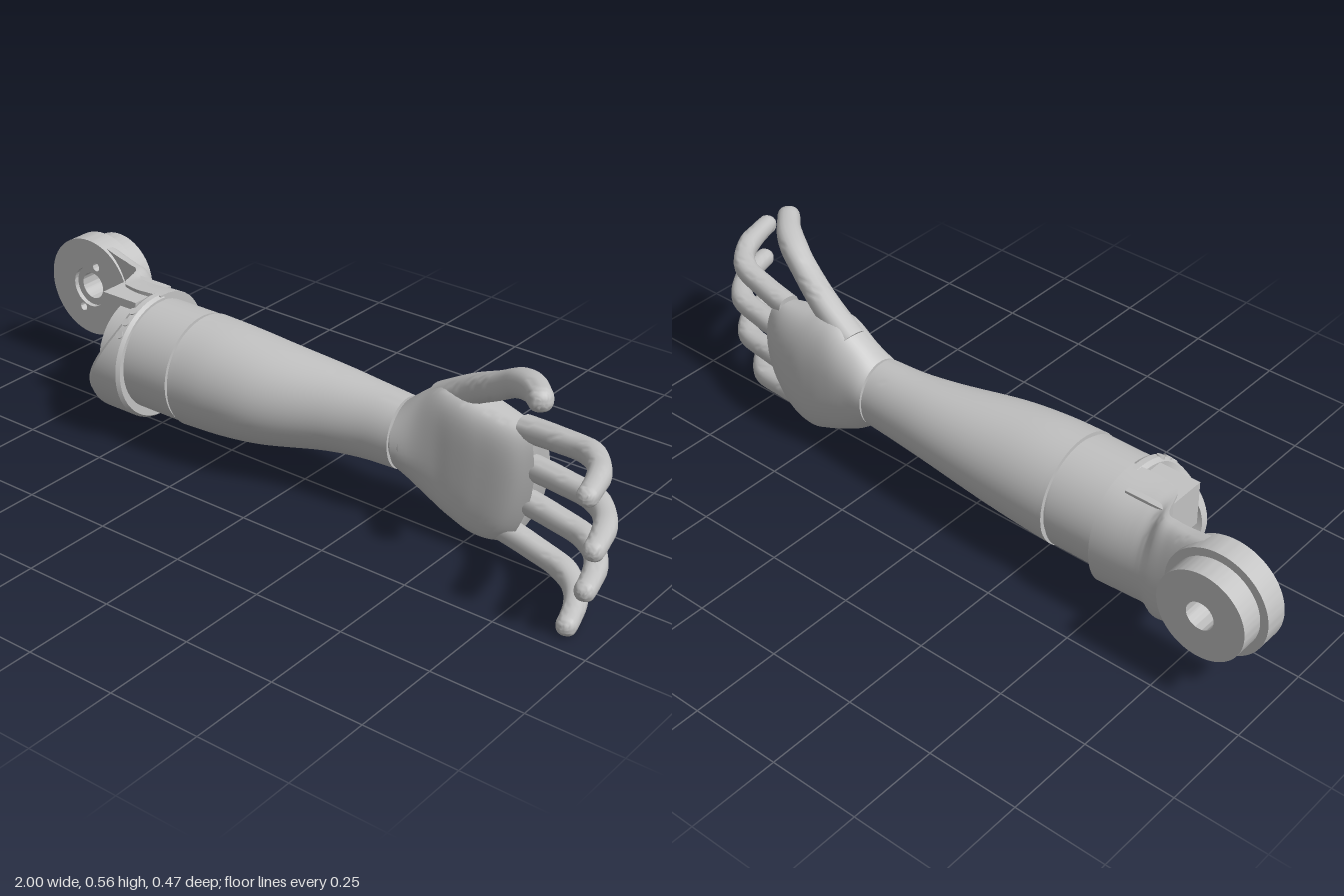
import * as THREE from 'three';
import { toCreasedNormals } from 'three/addons/utils/BufferGeometryUtils.js';

const grey = new THREE.MeshStandardMaterial({ color: 0xc2c2c2 });
grey.name = 'plain grey';
const V = (x, y, z) => new THREE.Vector3(x, y, z);
const spow = (v, p) => Math.sign(v) * Math.abs(v) ** p;

export function createModel() {
  const model = new THREE.Group();
  model.name = 'prostheticArm';

  const add = (name, geometry, parent = model) => {
    const mesh = new THREE.Mesh(geometry, grey);
    mesh.name = name;
    parent.add(mesh);
    return mesh;
  };

  // Skins a series of closed rings and caps both ends
  const loft = (rings, crease = 0.7) => {
    const n = rings[0].length, pos = [], idx = [];
    rings.forEach(r => r.forEach(p => pos.push(p.x, p.y, p.z)));
    for (let i = 0; i < rings.length - 1; i++) for (let j = 0; j < n; j++) {
      const a = i * n + j, b = i * n + (j + 1) % n;
      idx.push(a, b, a + n, b, b + n, a + n);
    }
    [0, rings.length - 1].forEach((k, end) => {
      const c = rings[k].reduce((s, p) => s.add(p), V(0, 0, 0)).divideScalar(n);
      const ci = pos.length / 3;
      pos.push(c.x, c.y, c.z);
      for (let j = 0; j < n; j++) {
        const a = k * n + j, b = k * n + (j + 1) % n;
        end ? idx.push(ci, a, b) : idx.push(ci, b, a);
      }
    });
    const g = new THREE.BufferGeometry();
    g.setAttribute('position', new THREE.Float32BufferAttribute(pos, 3));
    g.setIndex(idx);
    return toCreasedNormals(g, crease);
  };

  // Smoothly interpolated stations [x, yMin, yMax, zMin, zMax] along the arm
  const body = (stations, steps, point) => {
    const xs = stations.map(s => s[0]);
    const curve = new THREE.CubicInterpolant(xs, stations.flatMap(s => s.slice(1)), 4, new Float32Array(4));
    const rings = [];
    for (let i = 0; i <= steps; i++) {
      const x = THREE.MathUtils.lerp(xs[0], xs[xs.length - 1], i / steps);
      const [y0, y1, z0, z1] = curve.evaluate(x);
      rings.push(Array.from({ length: 48 }, (_, j) => {
        const a = j / 48 * Math.PI * 2;
        return point(x, Math.cos(a), Math.sin(a), y0, y1, z0, z1);
      }));
    }
    return loft(rings);
  };
  const oval = (x, c, s, y0, y1, z0, z1) =>
    V(x, (y0 + y1) / 2 + c * (y1 - y0) / 2, (z0 + z1) / 2 + s * (z1 - z0) / 2);

  const tubeX = (name, x0, x1, r, y = 0.222, z = 0.005) => {
    const m = add(name, new THREE.CylinderGeometry(r, r, x1 - x0, 56));
    m.rotation.z = Math.PI / 2;
    m.position.set((x0 + x1) / 2, y, z);
  };

  // Forearm, with recessed joints at both ends
  add('forearm', body([
    [-0.33, 0.067, 0.376, -0.15, 0.161], [-0.22, 0.073, 0.373, -0.146, 0.157],
    [-0.1, 0.086, 0.364, -0.14, 0.142], [0.1, 0.12, 0.345, -0.128, 0.085],
    [0.2, 0.13, 0.336, -0.119, 0.066], [0.302, 0.135, 0.33, -0.11, 0.06],
  ], 40, oval));
  tubeX('cuff', -0.5, -0.341, 0.152);
  tubeX('cuffJoint', -0.36, -0.31, 0.143);
  tubeX('wristJoint', 0.28, 0.33, 0.078, 0.233, -0.025);

  // Palm: rounder back, flatter slightly hollow front, arched knuckle edge
  add('palm', body([
    [0.309, 0.136, 0.33, -0.109, 0.058], [0.36, 0.1, 0.372, -0.111, 0.047],
    [0.42, 0.072, 0.41, -0.116, 0.045], [0.48, 0.052, 0.413, -0.119, 0.047],
    [0.55, 0.036, 0.398, -0.117, 0.046], [0.64, 0.034, 0.38, -0.095, 0.036],
    [0.692, 0.045, 0.37, -0.066, 0.014],
  ], 36, (x, c, s, y0, y1, z0, z1) => {
    const w = THREE.MathUtils.smoothstep(x, 0.309, 0.45);
    const k = THREE.MathUtils.smoothstep(x, 0.4, 0.69);
    const p = oval(x, spow(c, 1 - 0.2 * w), spow(s, 1 - (s > 0 ? 0.4 : 0.12) * w), y0, y1, z0, z1);
    if (s > 0) p.z -= 0.01 * w * s ** 4;
    p.x -= 1.5 * k * (p.y - 0.26) ** 2;
    return p;
  }));

  // Rounded, tapering finger along a curve, with soft swellings at its joints
  const finger = (name, points, r0, r1, joints) => {
    const curve = new THREE.CatmullRomCurve3(points.map(p => V(...p)));
    const L = curve.getLength(), steps = [], tip = 1 - r1 / L;
    for (let i = 0; i < 28; i++) steps.push([tip * i / 28, 1]);
    for (let i = 0; i <= 7; i++) {
      const a = i / 7 * Math.PI / 2;
      steps.push([Math.min(1, tip + Math.sin(a) * (1 - tip)), Math.max(Math.cos(a), 0.02)]);
    }
    add(name, loft(steps.map(([u, k]) => {
      const bump = joints.reduce((s, j) => s + 0.07 * Math.exp(-(((u - j) / 0.07) ** 2)), 1);
      const r = THREE.MathUtils.lerp(r0, r1, u) * k * bump;
      const c = curve.getPointAt(u), t = curve.getTangentAt(u);
      const b = t.clone().cross(V(0, 1, 0)).normalize();
      const n = b.clone().cross(t);
      return Array.from({ length: 20 }, (_, j) => {
        const a = j / 20 * Math.PI * 2;
        return c.clone().addScaledVector(n, r * spow(Math.cos(a), 0.85))
          .addScaledVector(b, r * spow(Math.sin(a), 0.85));
      });
    }), 1));
  };

  // Four curled fingers: [name, root x, root y, root z, tip x, tip y, tip z]
  const profile = [[0, 0], [0.32, 0.06], [0.66, 0.17], [0.86, 0.44], [0.96, 0.78], [1, 1]];
  [
    ['indexFinger', 0.64, 0.36, -0.026, 0.953, 0.39, 0.226],
    ['middleFinger', 0.65, 0.265, -0.026, 0.982, 0.264, 0.233],
    ['ringFinger', 0.64, 0.169, -0.026, 0.962, 0.145, 0.222],
    ['littleFinger', 0.58, 0.075, -0.022, 0.917, 0.028, 0.213],
  ].forEach(([name, x, y, z, tx, ty, tz]) => finger(name, profile.map(([u, w]) =>
    [x + u * (tx - x), y + u * (ty - y), z + w * (tz - z)]), 0.032, 0.025, [0.48, 0.73]));
  finger('thumb', [[0.4, 0.36, -0.035], [0.5, 0.42, -0.022], [0.585, 0.465, 0.002],
    [0.65, 0.502, 0.024], [0.71, 0.522, 0.06], [0.78, 0.532, 0.13]], 0.04, 0.03, [0.66, 0.76]);

  // Elbow: bored front disc, hub ring and rear boss
  const disc = (name, r, z0, z1, holes) => {
    const s = new THREE.Shape().absarc(0, 0, r, 0, Math.PI * 2);
    holes.forEach(([x, y, hr]) => s.holes.push(new THREE.Path().absarc(x, y, hr, 0, Math.PI * 2, true)));
    const g = new THREE.ExtrudeGeometry(s, { depth: z1 - z0, bevelEnabled: false, curveSegments: 56 });
    add(name, toCreasedNormals(g, 0.6)).position.set(-0.857, 0.274, z0);
  };
  disc('elbowDisc', 0.143, -0.17, -0.105, [[0, 0, 0.058], [0.028, 0.068, 0.012], [-0.028, -0.068, 0.012]]);
  disc('elbowHubRing', 0.06, -0.17, -0.118, [[0, 0, 0.038]]);
  disc('elbowBoss', 0.121, -0.232, -0.169, [[0, 0, 0.038]]);

  // Upper bracket: half-round back shell, flattening into the elbow disc
  add('bracketShell', body([
    [-0.815, 0.122, 0.408, -0.167, -0.118], [-0.75, 0.102, 0.394, -0.168, -0.112],
    [-0.7, 0.088, 0.387, -0.168, -0.105], [-0.66, 0.076, 0.384, -0.168, -0.088],
    [-0.635, 0.068, 0.384, -0.167, -0.02], [-0.6, 0.06, 0.385, -0.166, 0.0],
    [-0.49, 0.052, 0.388, -0.166, 0.0],
  ], 44, (x, c, s, y0, y1, z0, z1) => {
    const p = THREE.MathUtils.lerp(0.4, 0.8, THREE.MathUtils.smoothstep(x, -0.815, -0.62));
    return V(x, (y0 + y1) / 2 + c * (y1 - y0) / 2, s > 0 ? z1 : z1 - (z1 - z0) * spow(-s, p));
  }));
  tubeX('socketPlug', -0.585, -0.49, 0.14);

  // Latch block with a chamfered lower corner, set in the open side of the bracket
  const latch = new THREE.Shape([[-0.647, 0.376], [-0.647, 0.25], [-0.605, 0.185], [-0.53, 0.185], [-0.53, 0.376]]
    .map(p => new THREE.Vector2(...p)));
  add('latchBlock', new THREE.ExtrudeGeometry(latch, { depth: 0.14, bevelEnabled: false })).position.z = -0.085;

  // Clamp: front half-ring that widens towards the bottom
  const clamp = [];
  for (let i = 0; i <= 40; i++) {
    const d = 96 - 200 * i / 40, a = d * Math.PI / 180;
    const x0 = -0.525 - 0.085 * (1 - THREE.MathUtils.smoothstep(d, -25, 55));
    const x1 = -0.487, at = (x, r) => V(x, 0.213 + r * Math.sin(a), 0.003 + r * Math.cos(a));
    clamp.push([at(x0, 0.145), at(x1, 0.145), at(x1, 0.168), at(x1 - 0.01, 0.175),
      at(x0 + 0.012, 0.175), at(x0, 0.168)]);
  }
  add('clamp', loft(clamp, 0.5));

  // Clamp screws, nearly flush
  const screws = new THREE.Group();
  screws.name = 'clampScrews';
  model.add(screws);
  [62, 50, 38].forEach(d => {
    const a = d * Math.PI / 180;
    const m = add('screw', new THREE.CylinderGeometry(0.011, 0.011, 0.02, 16), screws);
    m.position.set(-0.51, 0.213 + 0.168 * Math.sin(a), 0.003 + 0.168 * Math.cos(a));
    m.rotation.x = Math.PI / 2 - a;
  });
  return model;
}
